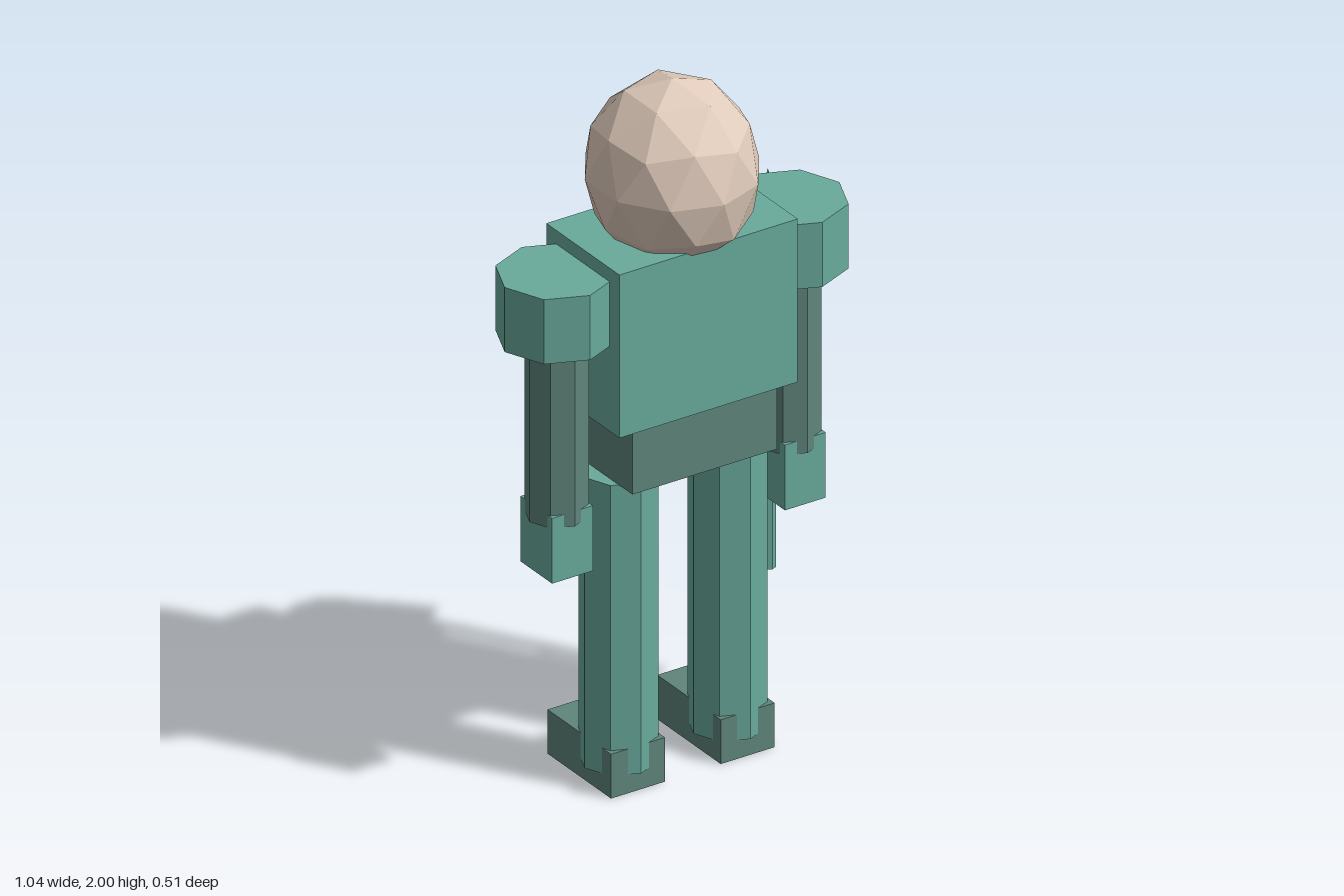
import * as THREE from 'three';

const material = (color) => new THREE.MeshStandardMaterial({ color, flatShading: true });

export function createModel() {
  const model = new THREE.Group();
  model.name = 'spearFigure';

  const green = material(0x69ab9c);
  const darkGreen = material(0x5f857b);
  const brightGreen = material(0x86e0c0);
  const skin = material(0xe0cbbb);

  function add(name, geometry, mat, x, y, z) {
    const mesh = new THREE.Mesh(geometry, mat);
    mesh.name = name;
    mesh.position.set(x, y, z);
    model.add(mesh);
    return mesh;
  }

  // Box and eight-sided column, each given by its bottom and top height
  const box = (name, mat, x, z, width, depth, y0, y1) =>
    add(name, new THREE.BoxGeometry(width, y1 - y0, depth), mat, x, (y0 + y1) / 2, z);
  const column = (name, mat, x, z, radius, y0, y1) =>
    add(name, new THREE.CylinderGeometry(radius, radius, y1 - y0, 8), mat, x, (y0 + y1) / 2, z);

  // Head: faceted ball turned so that a corner is at the top
  const ball = new THREE.IcosahedronGeometry(1, 1);
  ball.rotateX(-Math.atan((1 + Math.sqrt(5)) / 2));
  ball.rotateY(Math.PI / 2);
  ball.scale(0.233, 0.265, 0.245);
  add('head', ball, skin, 0, 1.735, 0.008);

  // Body
  box('torso', green, 0, 0.008, 0.556, 0.342, 1.1, 1.58);
  box('hips', darkGreen, 0, 0.008, 0.45, 0.305, 0.91, 1.1);

  // Limbs, mirrored; the toes point to -z
  for (const [side, s] of [['left', 1], ['right', -1]]) {
    column(side + 'Shoulder', green, s * 0.362, 0.008, 0.16, 1.35, 1.54);
    column(side + 'Arm', darkGreen, s * 0.363, 0.013, 0.085, 0.83, 1.35);
    box(side + 'Hand', green, s * 0.363, 0.013, 0.127, 0.148, 0.675, 0.867);
    column(side + 'Leg', green, s * 0.17, 0.013, 0.106, 0.055, 0.91);
    box(side + 'Foot', darkGreen, s * 0.171, -0.043, 0.168, 0.297, 0, 0.13);
  }

  // Spear with a pyramid tip
  column('spearShaft', green, 0.404, -0.149, 0.021, 0.375, 1.235);
  add('spearTip', new THREE.ConeGeometry(0.105, 0.315, 4), brightGreen, 0.404, 1.3875, -0.15);

  return model;
}
